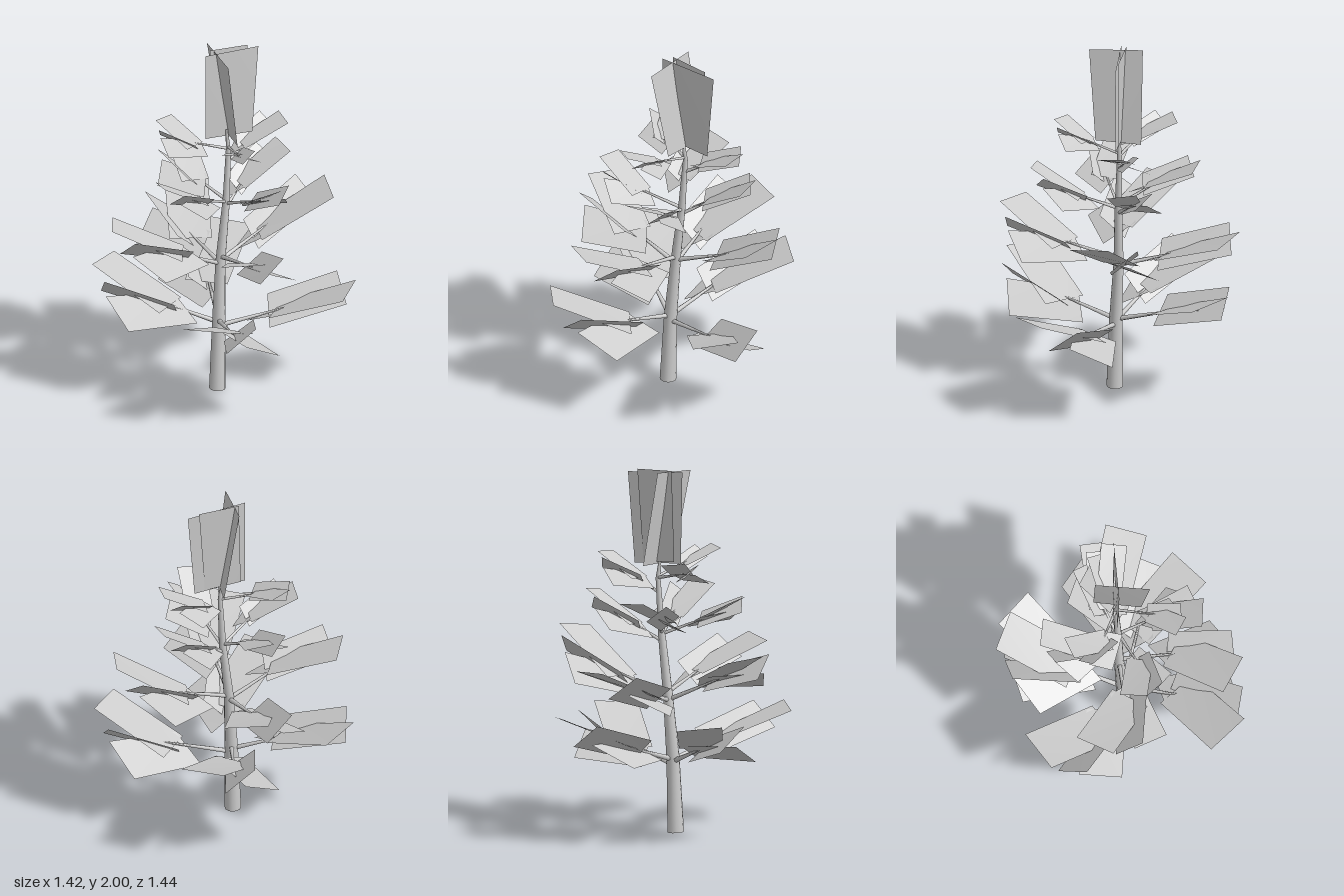
import * as THREE from 'three';

const grey = new THREE.MeshStandardMaterial({ color: 0xcccccc, side: THREE.DoubleSide });
grey.name = 'pale grey';

// Trunk centreline: x, y, z, radius
const TRUNK = [
  [-0.035, 0, 0.012, 0.045], [-0.027, 0.4, 0, 0.036], [-0.015, 0.75, -0.025, 0.027],
  [0.018, 1.1, -0.045, 0.02], [0.03, 1.4, -0.06, 0.013], [0.02, 1.52, -0.05, 0.006],
];

// Foliage cards of one branch growing along +z: tip, tip, base, base (relative to the branch root)
const CARDS = [
  [[-0.23, 0.22, 0.63], [0, 0.24, 0.72], [0.17, 0.05, 0.33], [-0.05, 0.05, 0.24]],
  [[0.17, 0.22, 0.63], [0.01, 0.09, 0.67], [0, -0.03, 0.25], [0.16, 0.1, 0.25]],
  [[0.3, -0.01, 0.48], [0.12, 0.11, 0.63], [-0.06, 0.07, 0.28], [0.1, -0.03, 0.13]],
];

// Upright cards of the crown
const CROWN = [
  [[-0.1, 1.99, 0.01], [0.2, 1.97, -0.14], [0.165, 1.47, -0.12], [-0.1, 1.49, 0]],
  [[-0.08, 2, -0.14], [0.015, 1.975, 0.145], [0.07, 1.475, 0.07], [0, 1.48, -0.18]],
  [[-0.07, 2, -0.04], [0.14, 1.99, -0.12], [0.11, 1.48, -0.1], [-0.08, 1.5, -0.03]],
];

// Branches: heading in degrees from the front, foliage height, size, extra rise, stick height on the trunk
const BRANCHES = [
  [-4, 0.42, 1, 0, 0.4], [90, 0.375, 1, 0, 0.37], [182.6, 0.45, 1, 0, 0.4], [-102, 0.45, 1, 0, 0.39],
  [14, 0.8, 0.9, 0, 0.77], [120, 0.75, 0.92, 0.19, 0.75], [203, 0.74, 0.97, 0, 0.73], [-74, 0.82, 0.9, 0, 0.73],
  [40, 1.095, 0.63, 0.18, 1.08], [138, 1.075, 0.64, 0.22, 1.05], [217, 1.14, 0.66, 0.07, 1.1], [-52, 1.13, 0.6, 0.1, 1.09],
  [14, 1.43, 0.47, 0, 1.41], [129, 1.355, 0.57, 0.08, 1.32], [-113, 1.41, 0.54, 0, 1.4],
];

function trunkAt(y) {
  let i = 0;
  while (i < TRUNK.length - 2 && TRUNK[i + 1][1] < y) i++;
  const a = TRUNK[i], b = TRUNK[i + 1];
  const t = (y - a[1]) / (b[1] - a[1]);
  return a.map((v, k) => v + (b[k] - v) * t);
}

// Tube through centres with a radius at each one
function taperedTube(rings, sides, name) {
  const pos = [], index = [];
  const pts = rings.map(r => new THREE.Vector3(r[0], r[1], r[2]));
  const dir = pts[pts.length - 1].clone().sub(pts[0]).normalize();
  const a = new THREE.Vector3(0, 0, 1);
  if (Math.abs(dir.z) > 0.9) a.set(1, 0, 0);
  const u = a.cross(dir).normalize();
  const v = dir.clone().cross(u);
  rings.forEach((r, i) => {
    for (let k = 0; k < sides; k++) {
      const t = (k / sides) * Math.PI * 2;
      const p = pts[i].clone().addScaledVector(u, Math.cos(t) * r[3]).addScaledVector(v, Math.sin(t) * r[3]);
      pos.push(p.x, p.y, p.z);
      if (i < rings.length - 1) {
        const n = (k + 1) % sides, b = i * sides, c = b + sides;
        index.push(b + k, b + n, c + n, b + k, c + n, c + k);
      }
    }
  });
  const g = new THREE.BufferGeometry();
  g.setAttribute('position', new THREE.Float32BufferAttribute(pos, 3));
  g.setIndex(index);
  g.computeVertexNormals();
  const mesh = new THREE.Mesh(g, grey);
  mesh.name = name;
  return mesh;
}

// Flat four-cornered foliage card, wound so that its front faces up
function card(corners, name) {
  const g = new THREE.BufferGeometry();
  g.setAttribute('position', new THREE.Float32BufferAttribute(corners.flat(), 3));
  g.setIndex([0, 1, 2, 0, 2, 3]);
  g.computeVertexNormals();
  if (g.attributes.normal.getY(0) < 0) {
    g.setIndex([0, 2, 1, 0, 3, 2]);
    g.computeVertexNormals();
  }
  const mesh = new THREE.Mesh(g, grey);
  mesh.name = name;
  return mesh;
}

export function createModel() {
  const tree = new THREE.Group();
  tree.name = 'tree';
  tree.add(taperedTube(TRUNK, 12, 'trunk'));

  const up = new THREE.Vector3(0, 1, 0);
  for (const [deg, y, size, rise, stickY] of BRANCHES) {
    const branch = new THREE.Group();
    branch.name = 'branch';
    const heading = THREE.MathUtils.degToRad(deg);
    const place = ([px, py, pz]) => {
      const p = new THREE.Vector3(px, py + rise * pz, pz).multiplyScalar(size).applyAxisAngle(up, heading);
      return [p.x, p.y + y, p.z];
    };
    // Straight stick from the trunk into the foliage
    const [rx, ry, rz] = trunkAt(stickY);
    branch.add(taperedTube([
      [rx, ry, rz, 0.012 * size + 0.003],
      [...place([0.05, 0.08, 0.4]), 0.004],
    ], 6, 'branchStick'));
    // Crossed foliage cards
    for (const c of CARDS) branch.add(card(c.map(place), 'foliageCard'));
    tree.add(branch);
  }

  const crown = new THREE.Group();
  crown.name = 'crown';
  for (const c of CROWN) crown.add(card(c, 'crownCard'));
  tree.add(crown);
  return tree;
}
